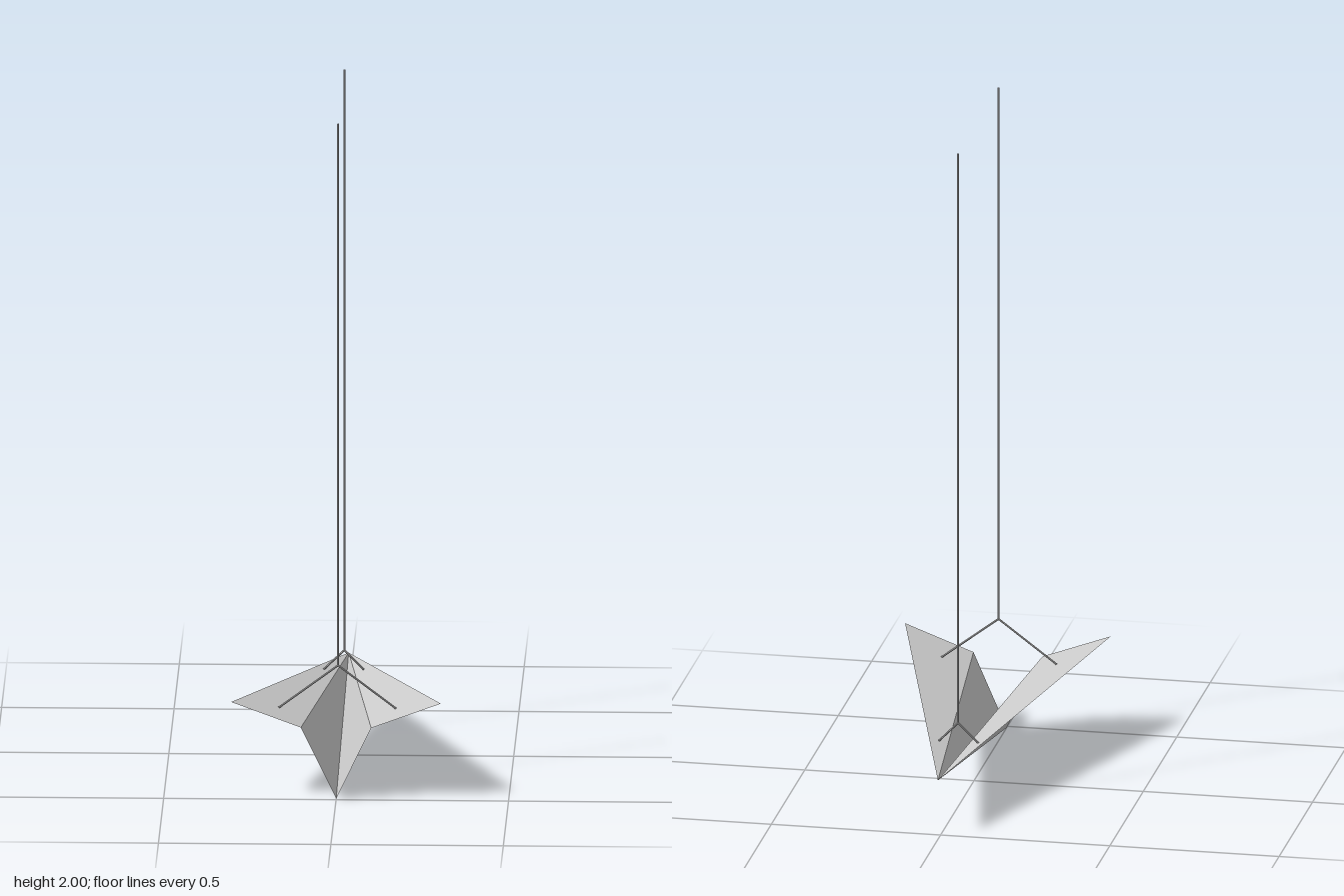
import * as THREE from 'three';

const material = new THREE.MeshStandardMaterial({ color: 0xcccccc, flatShading: true });
const paperMaterial = new THREE.MeshStandardMaterial({ color: 0xcccccc, flatShading: true, side: THREE.DoubleSide });

// Key points of the folded sheet
const nose = [0.006, 0.175, -0.51];
const keel = [0, 0.005, 0.487];
const fold = (side) => [side * 0.102, 0.223, 0.508];
const tip = (side) => [side * 0.304, 0.298, 0.508];

// One flat triangular paper panel
function panel(name, a, b, c) {
  const geometry = new THREE.BufferGeometry();
  geometry.setAttribute('position', new THREE.Float32BufferAttribute([...a, ...b, ...c], 3));
  geometry.computeVertexNormals();
  const mesh = new THREE.Mesh(geometry, paperMaterial);
  mesh.name = name;
  return mesh;
}

// Straight thin cord between two points
function cord(name, from, to) {
  const a = new THREE.Vector3(...from);
  const b = new THREE.Vector3(...to);
  const direction = b.clone().sub(a);
  const mesh = new THREE.Mesh(new THREE.CylinderGeometry(0.003, 0.003, direction.length(), 8), material);
  mesh.position.copy(a).add(b).multiplyScalar(0.5);
  mesh.quaternion.setFromUnitVectors(new THREE.Vector3(0, 1, 0), direction.normalize());
  mesh.name = name;
  return mesh;
}

// Vertical string that splits into two branches ending on the wings
function hanger(name, z, apexY, reach, wingY) {
  const group = new THREE.Group();
  group.name = name;
  const apex = [0.002, apexY, z];
  group.add(cord('string', apex, [0.002, 2, z]));
  for (const [label, side] of [['left', 1], ['right', -1]]) {
    group.add(cord(label + 'Branch', apex, [side * reach, wingY, z]));
  }
  return group;
}

export function createModel() {
  const model = new THREE.Group();
  model.name = 'hangingPaperPlane';

  // Wings and the open V-shaped body
  const plane = new THREE.Group();
  plane.name = 'paperPlane';
  for (const [label, side] of [['left', 1], ['right', -1]]) {
    // Corner order keeps both panels facing up on either side
    const ordered = (a, b) => (side > 0 ? [a, b] : [b, a]);
    plane.add(panel(label + 'Wing', nose, ...ordered(fold(side), tip(side))));
    plane.add(panel(label + 'Body', nose, ...ordered(keel, fold(side))));
  }
  model.add(plane);

  // Suspension strings
  model.add(hanger('frontHanger', 0.376, 0.375, 0.17, 0.247));
  model.add(hanger('rearHanger', -0.229, 0.258, 0.058, 0.2));
  return model;
}
